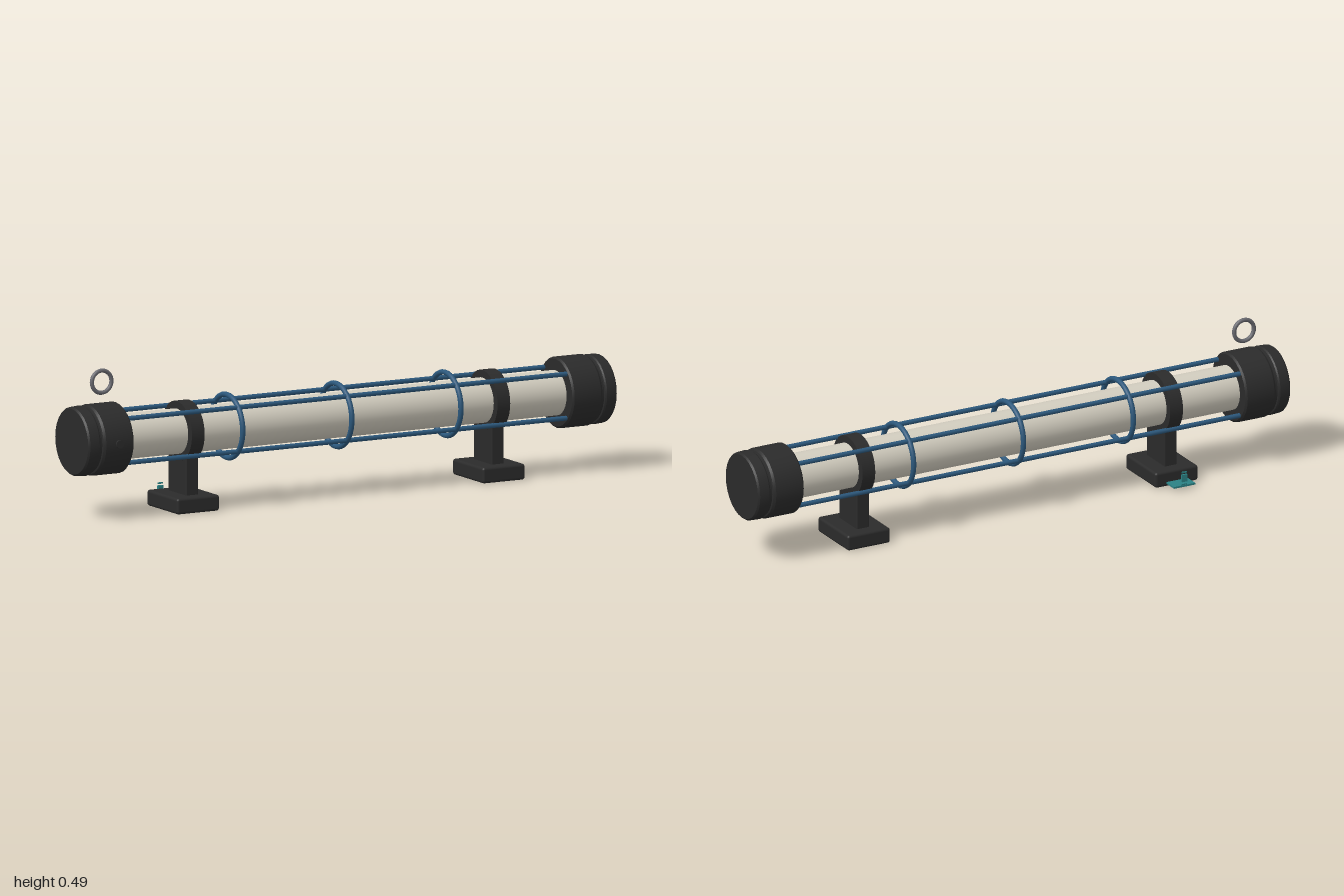
import * as THREE from 'three';
import { toCreasedNormals } from 'three/addons/utils/BufferGeometryUtils.js';
import { RoundedBoxGeometry } from 'three/addons/geometries/RoundedBoxGeometry.js';

const AXIS_Y = 0.259, AXIS_Z = 0.016;

function material(name, color) {
  const m = new THREE.MeshStandardMaterial({ color });
  m.name = name;
  return m;
}

export function createModel() {
  const black = material('black rubber', 0x2b2b2b);
  const ivory = material('ivory tube', 0xd2cdbf);
  const blue = material('blue steel', 0x2c587c);
  const grey = material('grey metal', 0x6a6a70);
  const teal = material('teal metal', 0x2b8285);

  const model = new THREE.Group();
  model.name = 'tubeLamp';
  const add = (parent, name, geometry, mat, x = 0, y = 0, z = 0) => {
    const mesh = new THREE.Mesh(geometry, mat);
    mesh.name = name;
    mesh.position.set(x, y, z);
    parent.add(mesh);
    return mesh;
  };
  const alongX = (r, length, sides) =>
    new THREE.CylinderGeometry(r, r, length, sides).rotateZ(-Math.PI / 2);

  // Everything centred on the long axis
  const body = new THREE.Group();
  body.name = 'body';
  body.position.set(0, AXIS_Y, AXIS_Z);
  model.add(body);
  add(body, 'tube', alongX(0.075, 1.8, 40), ivory);

  // Stepped end caps with a groove
  const profile = [
    [0.0, 0.828], [0.112, 0.828], [0.118, 0.834], [0.118, 0.934], [0.113, 0.942],
    [0.108, 0.944], [0.108, 0.951], [0.113, 0.953], [0.116, 0.958],
    [0.114, 0.992], [0.109, 0.998], [0.0, 0.998],
  ].map(([r, y]) => new THREE.Vector2(r, y));
  for (const side of [-1, 1]) {
    const cap = new THREE.LatheGeometry(profile, 28).rotateZ(-side * Math.PI / 2);
    add(body, side < 0 ? 'rightCap' : 'leftCap', toCreasedNormals(cap, 0.5), black);
  }

  // Guard cage: four rods and three hoops
  for (let i = 0; i < 4; i++) {
    const a = Math.PI / 4 + i * Math.PI / 2;
    add(body, 'guardRod', alongX(0.008, 1.7, 10), blue,
      0, Math.sin(a) * 0.104, Math.cos(a) * 0.104);
  }
  for (const x of [-0.412, 0, 0.412]) {
    add(body, 'guardHoop', new THREE.TorusGeometry(0.105, 0.009, 10, 40).rotateY(Math.PI / 2), blue, x);
  }

  // Hanging ring and button on the right cap
  add(body, 'hangingRing', new THREE.TorusGeometry(0.037, 0.007, 10, 32), grey, -0.885, 0.19, 0);
  add(body, 'button', new THREE.CylinderGeometry(0.014, 0.014, 0.03, 16).rotateX(Math.PI / 2),
    black, -0.885, 0, 0.109);

  // Two stands: band, post and foot
  for (const x of [-0.577, 0.577]) {
    const stand = new THREE.Group();
    stand.name = 'stand';
    stand.position.set(x, 0, AXIS_Z);
    model.add(stand);
    add(stand, 'band', alongX(0.1, 0.048, 36), black, 0, AXIS_Y, 0);
    add(stand, 'post', new RoundedBoxGeometry(0.046, 0.15, 0.121, 2, 0.004), black, 0, 0.115, 0);
    add(stand, 'foot', new RoundedBoxGeometry(0.16, 0.053, 0.205, 3, 0.009), black, 0, 0.0265, 0);
  }

  // Small bracket behind the right foot
  const bracket = new THREE.Group();
  bracket.name = 'bracket';
  bracket.position.set(-0.577, 0, 0);
  model.add(bracket);
  add(bracket, 'bracketPlate', new THREE.BoxGeometry(0.08, 0.006, 0.056), teal, 0, 0.013, -0.11);
  for (const [y, h, t] of [[0.018, 0.004, 0.003], [0.04, 0.025, 0.007], [0.06, 0.005, 0.003]]) {
    add(bracket, 'bracketStud', new THREE.BoxGeometry(0.02, h, t), teal, 0, y, -0.135);
  }
  return model;
}
